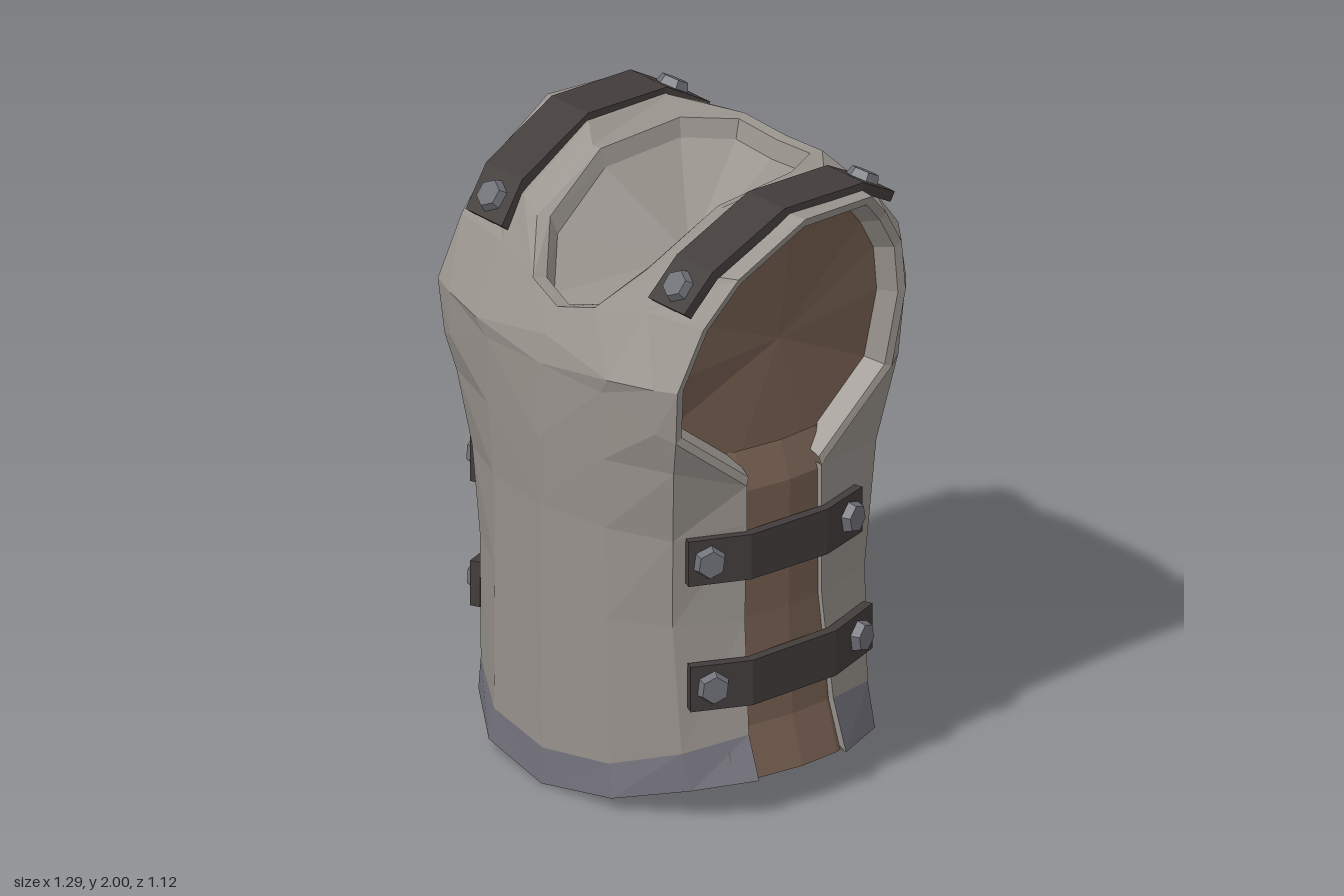
import * as THREE from 'three';

const mat = (name, color) => {
  const m = new THREE.MeshStandardMaterial({ color, flatShading: true, side: THREE.DoubleSide });
  m.name = name;
  return m;
};
const V = (p) => new THREE.Vector3(...p);

// Skin between rows of points; every row has the same count
function loft(rows, closed = false) {
  const pos = [];
  const tri = (...pts) => pts.forEach((p) => pos.push(p[0], p[1], p[2]));
  for (let r = 0; r < rows.length - 1; r++) {
    const a = rows[r], b = rows[r + 1], n = a.length;
    for (let c = 0; c < (closed ? n : n - 1); c++) {
      const d = (c + 1) % n;
      tri(a[c], a[d], b[d]);
      tri(a[c], b[d], b[c]);
    }
  }
  const g = new THREE.BufferGeometry();
  g.setAttribute('position', new THREE.Float32BufferAttribute(pos, 3));
  g.computeVertexNormals();
  return g;
}

// Half sections (centre or neck edge -> arm edge), up the front
const front = [
  [[0, 0, .545], [.3, .04, .51], [.52, .1, .37], [.645, .13, .2]],
  [[0, .12, .54], [.28, .15, .505], [.49, .22, .385], [.595, .27, .2]],
  [[0, .63, .545], [.27, .64, .51], [.47, .65, .405], [.575, .65, .2]],
  [[0, .95, .55], [.27, .95, .515], [.49, .95, .42], [.585, .98, .2]],
  [[0, 1.18, .56], [.28, 1.19, .53], [.53, 1.2, .45], [.585, 1.11, .2]],
  [[0, 1.43, .555], [.28, 1.42, .54], [.5, 1.34, .5], [.565, 1.32, .47]],
  [[0, 1.52, .53], [.32, 1.475, .545], [.5, 1.49, .505], [.585, 1.5, .48]],
  [[0, 1.6, .48], [.15, 1.64, .455], [.35, 1.68, .41], [.59, 1.69, .38]],
];
// Over the shoulder
const shoulder = [
  [[.15, 1.64, .455], [.15, 1.64, .455], [.35, 1.68, .41], [.59, 1.69, .38]],
  [[.27, 1.78, .34], [.36, 1.81, .32], [.48, 1.82, .3], [.605, 1.83, .25]],
  [[.315, 1.93, .08], [.38, 1.975, .04], [.5, 1.98, .03], [.63, 1.975, 0]],
  [[.3, 1.955, -.26], [.38, 1.98, -.28], [.5, 1.98, -.28], [.615, 1.97, -.28]],
  [[.19, 1.94, -.43], [.19, 1.94, -.43], [.5, 1.91, -.39], [.6, 1.89, -.35]],
];
// Down the back
const back = [
  [[0, 1.925, -.44], [.19, 1.94, -.43], [.5, 1.91, -.39], [.6, 1.89, -.35]],
  [[0, 1.79, -.535], [.3, 1.79, -.515], [.5, 1.79, -.48], [.59, 1.77, -.42]],
  [[0, 1.59, -.555], [.3, 1.59, -.54], [.515, 1.6, -.5], [.585, 1.6, -.44]],
  [[0, 1.34, -.555], [.3, 1.34, -.535], [.5, 1.34, -.48], [.56, 1.34, -.405]],
  [[0, 1.05, -.51], [.28, 1.05, -.485], [.49, 1.07, -.4], [.585, 1.1, -.1]],
  [[0, .65, -.455], [.27, .65, -.43], [.47, .65, -.37], [.575, .65, -.11]],
  [[0, .25, -.445], [.28, .25, -.42], [.49, .26, -.365], [.595, .3, -.14]],
  [[0, .07, -.5], [.3, .09, -.455], [.52, .11, -.37], [.645, .13, -.15]],
];

export function createModel() {
  const plate = mat('plate grey', 0x98928c);
  const hem = mat('hem grey', 0x74727c);
  const liner = mat('liner brown', 0x765f51);
  const leather = mat('strap dark', 0x423d3b);
  const steel = mat('bolt steel', 0x707178);

  const half = new THREE.Group();
  const add = (name, geo, material, parent = half) => {
    const m = new THREE.Mesh(geo, material);
    m.name = name;
    parent.add(m);
    return m;
  };
  const all = [...front, ...shoulder, ...back];
  const last = all.length - 1;
  const outer = all.map((r) => r[3]);

  // Plates and flared hems
  add('torsoPlate', loft(all.slice(1, last)), plate);
  add('frontHem', loft(all.slice(0, 2)), hem);
  add('backHem', loft(all.slice(last - 1)), hem);

  // Turned-in hem undersides
  const tuck = (row) => row.map(([x, y, z]) => [x * .96, y + .012, z * .96]);
  add('frontHemRim', loft([tuck(all[0]), all[0]]), hem);
  add('backHemRim', loft([all[last], tuck(all[last])]), hem);

  // Side edges of the plates
  const edge = (name, pts) => add(name, loft([pts, pts.map(([x, y, z]) => [x - .04, y, z])]), plate);
  edge('frontPlateEdge', outer.slice(0, 5));
  edge('backPlateEdge', outer.slice(last - 3));

  // Armhole lip and its brown cap
  const arm = outer.slice(4, last - 2);
  const armRing = (s, dx) => arm.map(([x, y, z]) => [x - dx, 1.53 + (y - 1.53) * s, z * s]);
  const armInner = armRing(.875, .075);
  add('armholeLip', loft([arm, armRing(.94, .006), armInner]), plate);
  add('armholeLining', loft([armInner, armInner.map(() => [.5, 1.53, 0])], true), liner);

  // Brown side panel between the plates
  const panel = [[.13, .625], [.29, .575], [.65, .555], [1.08, .562], [1.2, .515]].map(([y, x]) =>
    [[x - .03, y, .26], [x, y, .19], [x + .015, y, .02], [x, y, -.13], [x - .03, y, -.2]]);
  add('sidePanel', loft(panel), liner);

  // Neck rim and sunken bowl
  const neck = [all[7][0], ...shoulder.map((r) => r[0]), back[0][0]];
  const neckRing = (s, dy) => neck.map(([x, y, z]) => [x * s, y + dy, -.03 + (z + .03) * s]);
  const neckInner = neckRing(.86, -.065);
  add('neckRim', loft([neck, neckRing(.91, -.005), neckInner]), plate);
  add('neckBowl', loft([neckInner, neckInner.map(() => [0, 1.63, -.05])]), plate);

  // Strap along a path with a hexagonal bolt near each end
  function strap(name, path, across, halfWidth, at) {
    const g = new THREE.Group();
    g.name = name;
    half.add(g);
    const P = path.map(V), W = V(across);
    const normal = (a, b) => W.clone().cross(b.clone().sub(a)).normalize();
    const rows = P.map((p, i) => {
      const n = normal(P[Math.max(i - 1, 0)], P[Math.min(i + 1, P.length - 1)]);
      const corner = (w, h) => p.clone().addScaledVector(W, w * halfWidth).addScaledVector(n, h).toArray();
      return [corner(-1, .02), corner(1, .02), corner(1, -.015), corner(-1, -.015)];
    });
    const cap = (i) => rows[i].map(() => path[i]);
    add(name + 'Band', loft([cap(0), ...rows, cap(P.length - 1)], true), leather, g);
    const e = P.length - 1;
    [[P[0], P[1], at], [P[e - 1], P[e], 1 - at]].forEach(([a, b, t]) => {
      const n = normal(a, b);
      const bolt = add('bolt', new THREE.CylinderGeometry(.045, .056, .03, 6), steel, g);
      bolt.position.copy(a).lerp(b, t).addScaledVector(n, .032);
      bolt.quaternion.setFromUnitVectors(new THREE.Vector3(0, 1, 0), n);
    });
  }
  strap('shoulderStrap', [[.445, 1.72, .395], [.465, 1.84, .3], [.48, 1.98, .03], [.48, 1.98, -.28], [.45, 1.9, -.425]],
    [1, 0, 0], .088, .48);
  strap('upperSideStrap', [[.515, .88, .385], [.592, .88, .2], [.592, .88, -.1], [.535, .885, -.285]],
    [0, -1, 0], .076, .34);
  strap('lowerSideStrap', [[.52, .455, .38], [.598, .455, .2], [.598, .462, -.13], [.53, .475, -.33]],
    [0, -1, 0], .076, .37);

  // Mirror to the other side
  half.name = 'leftHalf';
  const other = half.clone();
  other.name = 'rightHalf';
  other.scale.x = -1;
  const model = new THREE.Group();
  model.name = 'breastplate';
  model.add(half, other);
  return model;
}
